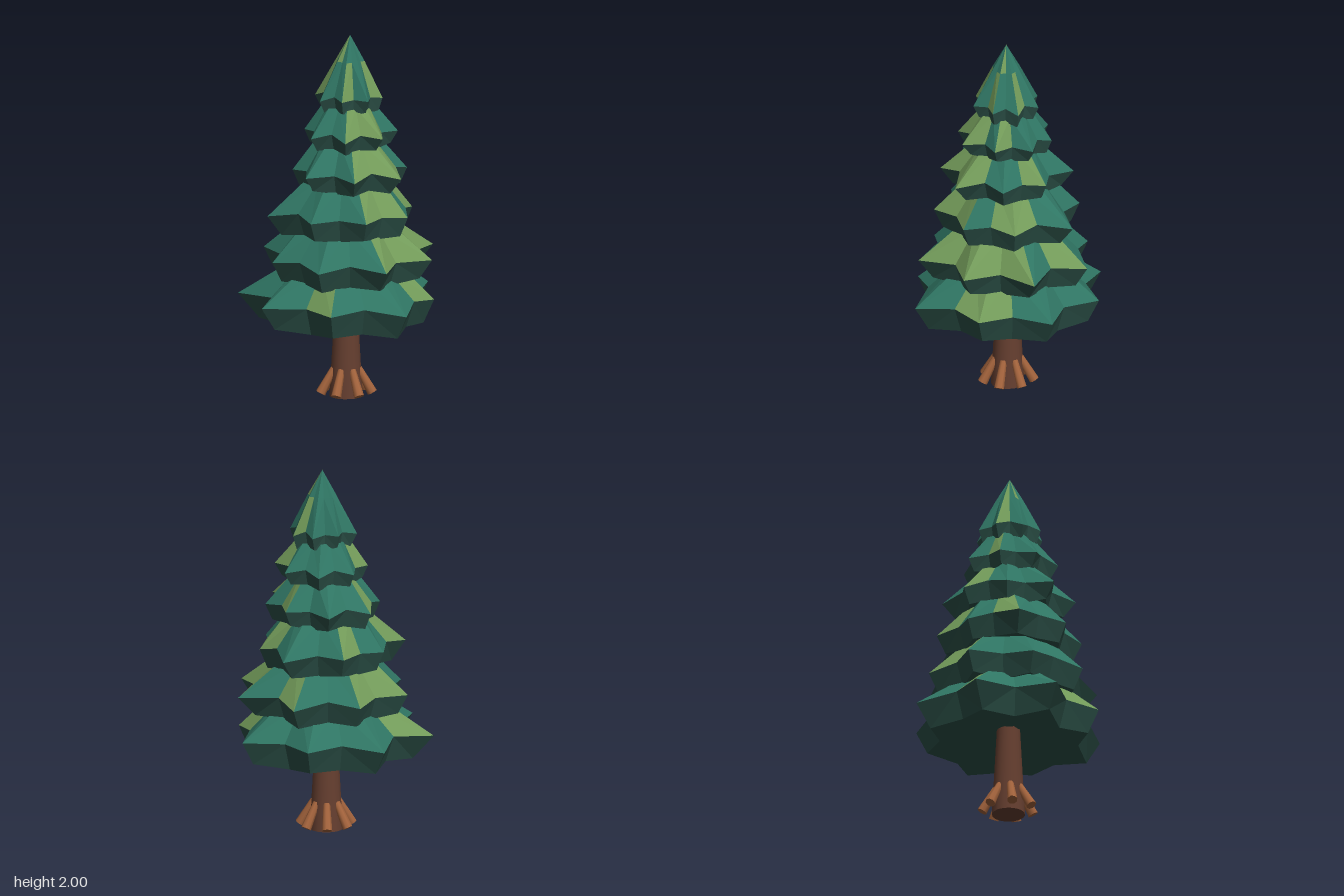
import * as THREE from 'three';

const flat = (name, color) => {
  const m = new THREE.MeshStandardMaterial({ color });
  m.name = name;
  return m;
};

// Each tier: centre x, turn in degrees, tip radii, valley radius, heights, and the sectors that are light green
const TIERS = [
  { cx: 0.05, turn: 0, tips: [0.48, 0.555, 0.51, 0.56, 0.59, 0.56, 0.52, 0.545], valley: 0.42, bottom: 0.42, rim: 0.55, top: 0.74, topR: 0.27, light: [0, 4, 8, 15] },
  { cx: 0.05, turn: 10, tips: [0.49, 0.50, 0.45, 0.44, 0.47, 0.45, 0.49, 0.52], valley: 0.37, bottom: 0.67, rim: 0.78, top: 0.97, topR: 0.24, light: [0, 1, 8, 9, 12, 14, 15] },
  { cx: 0.05, turn: 20, tips: [0.38, 0.40, 0.39, 0.44, 0.36, 0.39, 0.45, 0.37], valley: 0.32, bottom: 0.925, rim: 1.03, top: 1.21, topR: 0.21, light: [0, 1, 6, 9, 13, 14] },
  { cx: 0.06, turn: 30, tips: [0.37, 0.36, 0.36, 0.30, 0.33, 0.36, 0.32, 0.32], valley: 0.26, bottom: 1.175, rim: 1.26, top: 1.43, topR: 0.16, light: [0, 1, 7, 12, 15] },
  { cx: 0.065, turn: 40, tips: [0.28, 0.27, 0.27, 0.24, 0.26, 0.25, 0.27, 0.265], valley: 0.2, bottom: 1.395, rim: 1.465, top: 1.62, topR: 0.13, light: [0, 1, 6, 13, 15] },
  { cx: 0.072, turn: 50, tips: [0.19, 0.18, 0.19, 0.195, 0.18, 0.19, 0.18, 0.18], valley: 0.14, bottom: 1.59, rim: 1.66, top: 1.86, topR: 0.075, light: [1, 5, 11, 14], apex: 2 },
];
const SIDES = 16;

// One ring of 16 points, alternating tip and valley
function ring(tier, y, radius, lift = () => 0) {
  return Array.from({ length: SIDES }, (_, k) => {
    const a = THREE.MathUtils.degToRad(tier.turn + k * 22.5);
    const r = radius(k);
    return [tier.cx + r * Math.cos(a), y + lift(k), r * Math.sin(a)];
  });
}

// Add the faces between two rings; pick(k) chooses the list that receives sector k
function band(lower, upper, pick) {
  for (let k = 0; k < SIDES; k++) {
    const n = (k + 1) % SIDES;
    const a = lower[k], b = lower[n], c = upper[n], d = upper[k];
    const corners = k % 2 ? [a, d, b, d, c, b] : [a, d, c, a, c, b];
    corners.forEach((p) => pick(k).push(...p));
  }
}

function facets(name, points, material) {
  const g = new THREE.BufferGeometry();
  g.setAttribute('position', new THREE.Float32BufferAttribute(points, 3));
  g.computeVertexNormals();
  const mesh = new THREE.Mesh(g, material);
  mesh.name = name;
  return mesh;
}

export function createModel() {
  const model = new THREE.Group();
  model.name = 'pineTree';
  const needle = flat('needle green', 0x2f7563);
  const lightNeedle = flat('light needle green', 0x729a59);
  const shadeNeedle = flat('deep needle green', 0x2c5148);
  const bark = flat('bark brown', 0x663f30);
  const rootBark = flat('root brown', 0xa3633c);

  // Foliage tiers
  TIERS.forEach((t, i) => {
    const green = [], light = [], deep = [];
    const wobble = (k) => 0.012 * Math.sin(k * 2.3 + i * 1.7);
    const rimR = (k) => (k % 2 ? t.valley * (1 + wobble(k) * 3) : t.tips[k / 2]);
    const under = ring(t, t.bottom + 0.09, () => 0);
    const bottom = ring(t, t.bottom, (k) => Math.min(rimR(k) * 0.88, t.valley * 1.13), wobble);
    const rim = ring(t, t.rim, rimR, (k) => (k % 2 ? 0.018 : 0) + wobble(k) * 0.7);
    const top = ring(t, t.top, (k) => t.topR * (k % 2 ? 0.93 : 1.07));

    band(under, bottom, () => deep);
    band(bottom, rim, () => deep);
    band(rim, top, (k) => (t.light.includes(k) ? light : green));
    // Pointed crown on the last tier
    if (t.apex) {
      const tip = ring(t, t.apex, () => 0);
      band(top, tip, (k) => ([3, 5, 13].includes(k) ? light : green));
    }

    const tier = new THREE.Group();
    tier.name = `foliageTier${i + 1}`;
    tier.add(
      facets('upperBoughs', green, needle),
      facets('lightBoughs', light, lightNeedle),
      facets('boughUndersides', deep, shadeNeedle),
    );
    model.add(tier);
  });

  // Trunk
  const trunk = new THREE.Mesh(new THREE.CylinderGeometry(0.06, 0.09, 0.56, 16), bark);
  trunk.name = 'trunk';
  trunk.position.set(0.05, 0.28, 0);
  model.add(trunk);

  // Roots leaning against the trunk base
  const roots = new THREE.Group();
  roots.name = 'roots';
  roots.position.x = 0.05;
  const up = new THREE.Vector3(0, 1, 0);
  for (let i = 0; i < 7; i++) {
    const a = (i / 7) * Math.PI * 2;
    const at = (r, y) => new THREE.Vector3(r * Math.cos(a), y, r * Math.sin(a));
    const foot = at(0.143, 0.023), head = at(0.068, 0.155);
    const dir = head.clone().sub(foot);
    const root = new THREE.Mesh(new THREE.CylinderGeometry(0.019, 0.028, dir.length(), 8), rootBark);
    root.name = `root${i + 1}`;
    root.position.copy(foot).add(head).multiplyScalar(0.5);
    root.quaternion.setFromUnitVectors(up, dir.normalize());
    roots.add(root);
  }
  model.add(roots);
  return model;
}
